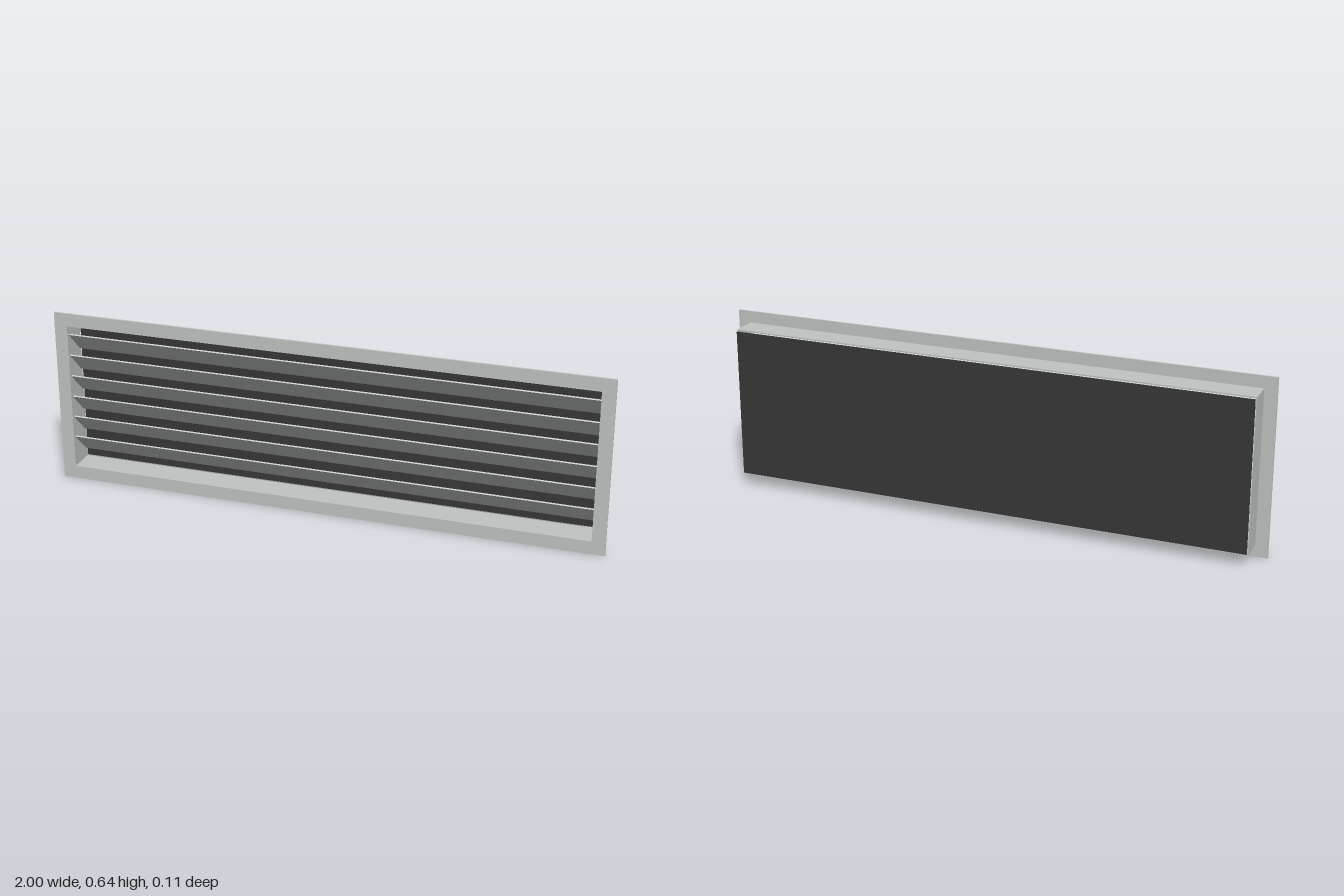
import * as THREE from 'three';

const grey = new THREE.MeshStandardMaterial({ color: 0xbfc4c2 });
grey.name = 'paintedMetalGrey';
const dark = new THREE.MeshStandardMaterial({ color: 0x373737 });
dark.name = 'backingDark';

const MID_Y = 0.321; // height of the grille's centre line

function rectPath(Path, w, h) {
  const p = new Path();
  p.moveTo(-w / 2, -h / 2);
  p.lineTo(w / 2, -h / 2);
  p.lineTo(w / 2, h / 2);
  p.lineTo(-w / 2, h / 2);
  p.closePath();
  return p;
}

// Rectangular ring extruded from zBack to zFront
function ring(name, outerW, outerH, innerW, innerH, zBack, zFront) {
  const shape = rectPath(THREE.Shape, outerW, outerH);
  shape.holes.push(rectPath(THREE.Path, innerW, innerH));
  const geo = new THREE.ExtrudeGeometry(shape, { depth: zFront - zBack, bevelEnabled: false });
  const mesh = new THREE.Mesh(geo, grey);
  mesh.name = name;
  mesh.position.set(0, MID_Y, zBack);
  return mesh;
}

export function createModel() {
  const group = new THREE.Group();
  group.name = 'ventGrille';

  // Flat flange around the opening, and the duct collar behind it
  group.add(ring('frontFlange', 2, 0.642, 1.904, 0.546, 0.048, 0.055));
  group.add(ring('ductCollar', 1.91, 0.556, 1.904, 0.546, -0.045, 0.048));

  // Six blades sloping down towards the back
  const blades = new THREE.Group();
  blades.name = 'louvreBlades';
  const bladeGeo = new THREE.BoxGeometry(1.904, 0.005, 0.113);
  const count = 6, pitch = 0.0793;
  for (let i = 0; i < count; i++) {
    const blade = new THREE.Mesh(bladeGeo, grey);
    blade.name = 'louvreBlade' + (i + 1);
    blade.position.set(0, MID_Y + (i - (count - 1) / 2) * pitch, 0.002);
    blade.rotation.x = -Math.PI / 4;
    blades.add(blade);
  }
  group.add(blades);

  // Dark sheet standing just behind the collar
  const back = new THREE.Mesh(new THREE.BoxGeometry(1.904, 0.544, 0.005), dark);
  back.name = 'backingSheet';
  back.position.set(0, MID_Y, -0.0525);
  group.add(back);

  return group;
}
